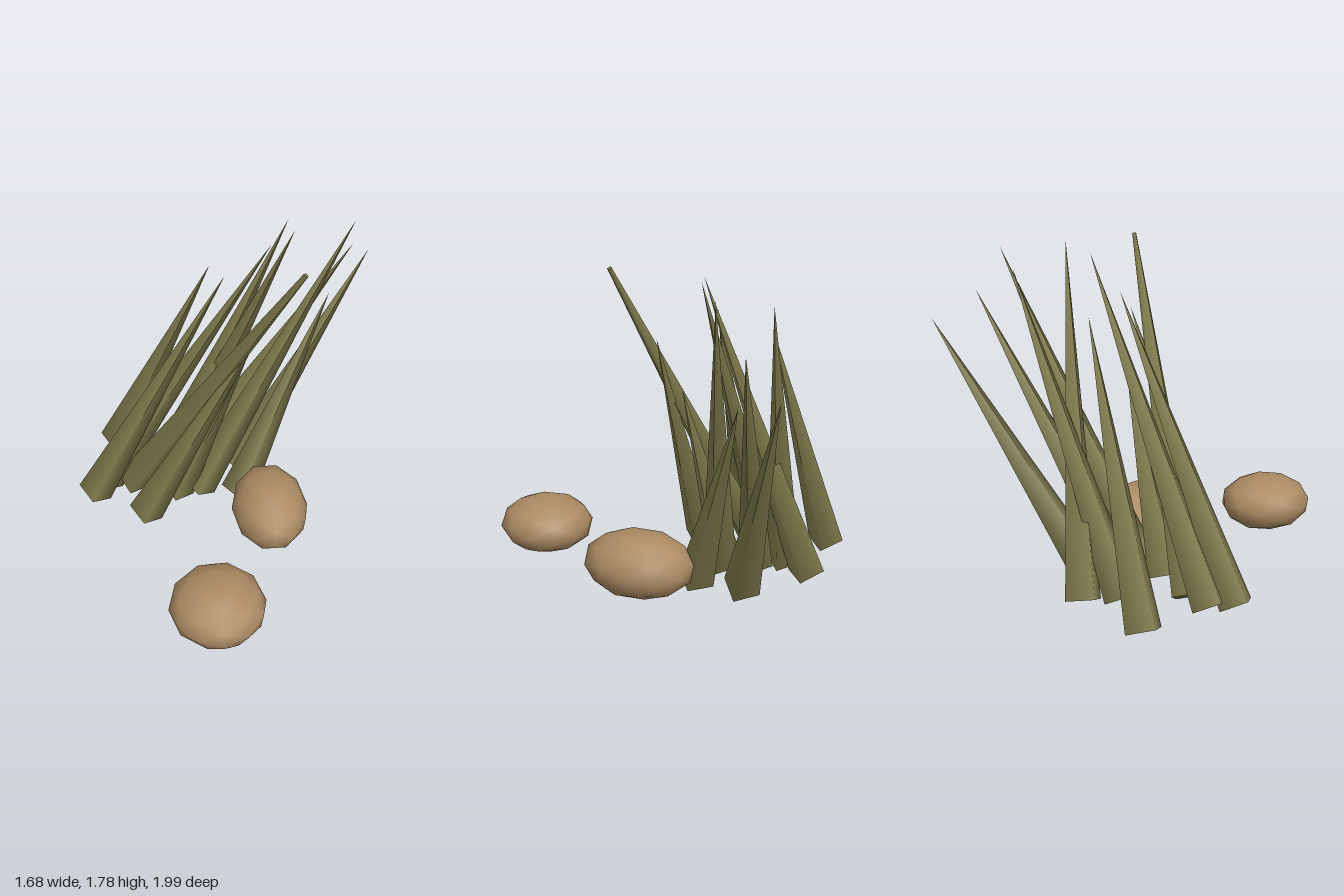
import * as THREE from 'three';

const grass = new THREE.MeshStandardMaterial({ color: 0x7f7a4c });
grass.name = 'dry grass';
const stone = new THREE.MeshStandardMaterial({ color: 0xac8b63 });
stone.name = 'tan stone';

const UP = new THREE.Vector3(0, 1, 0);

// Four-sided tapering blade from base centre to tip
function blade([bx, bz], tip, tipRadius = 0) {
  const a = new THREE.Vector3(bx, 0.065, bz);
  const b = new THREE.Vector3(...tip);
  const dir = b.clone().sub(a);
  const mesh = new THREE.Mesh(new THREE.CylinderGeometry(tipRadius, 0.105, dir.length(), 4), grass);
  mesh.position.copy(a).add(b).multiplyScalar(0.5);
  mesh.quaternion.setFromUnitVectors(UP, dir.normalize());
  mesh.name = 'grassBlade';
  return mesh;
}

// Low-poly flattened boulder, resting on a flat face, with smooth shading
function rock(center, size, turn) {
  const geo = new THREE.IcosahedronGeometry(1, 1);
  geo.rotateX(-0.365);
  geo.scale(...size);
  const mesh = new THREE.Mesh(geo, stone);
  mesh.position.set(...center);
  mesh.rotation.y = turn;
  mesh.name = 'rock';
  return mesh;
}

export function createModel() {
  const model = new THREE.Group();
  model.name = 'grassAndRocks';

  // Leaning tuft: base [x, z], tip [x, y, z], tip radius
  const tuft = new THREE.Group();
  tuft.name = 'grassTuft';
  const blades = [
    [[-0.69, -0.74], [-0.07, 1.45, -0.6]],
    [[-0.69, -0.34], [0.27, 1.72, -0.36]],
    [[-0.75, -0.22], [0.03, 1.54, -0.34]],
    [[-0.42, -0.06], [0.26, 1.41, -0.11]],
    [[-0.53, -0.34], [0.44, 1.78, 0.05], 0.014],
    [[-0.24, -0.78], [0.39, 1.77, -0.43]],
    [[-0.33, -0.61], [0.36, 1.66, -0.77]],
    [[-0.23, -0.48], [0.73, 1.51, -0.79]],
    [[-0.12, -0.31], [0.72, 1.73, -0.64]],
    [[0.12, -0.28], [0.61, 1.23, -0.71]],
    [[0.1, -0.54], [0.84, 1.36, -1.0]],
    [[-0.25, -0.28], [0.17, 1.14, -0.21]],
  ];
  for (const b of blades) tuft.add(blade(...b));
  model.add(tuft);

  // Two boulders in front of the tuft
  model.add(rock([0.315, 0.18, -0.03], [0.222, 0.186, 0.312], 0.15));
  model.add(rock([0.055, 0.165, 0.73], [0.262, 0.163, 0.273], 0.2));
  return model;
}
